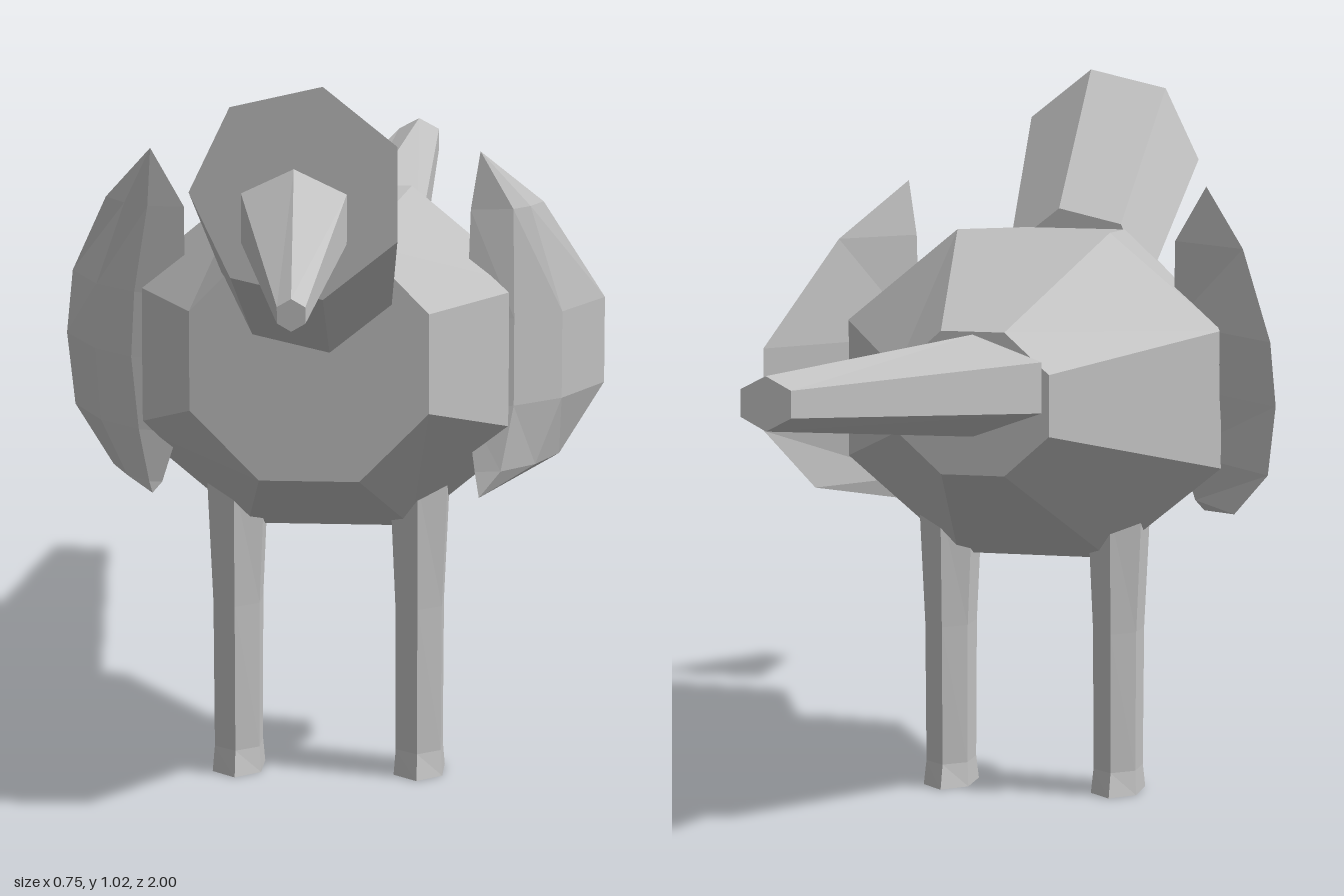
import * as THREE from 'three';

const grey = new THREE.MeshStandardMaterial({ color: 0xbfbfbf });
grey.name = 'grey';

// Closed, faceted skin over rings of [x, y, z] points, wound outwards
function loft(name, rings) {
  const tris = [];
  const n = rings[0].length;
  for (let r = 0; r < rings.length - 1; r++) {
    for (let i = 0; i < n; i++) {
      const j = (i + 1) % n;
      const [a, b, c, d] = [rings[r][i], rings[r][j], rings[r + 1][j], rings[r + 1][i]];
      tris.push([a, b, c], [a, c, d]);
    }
  }
  const first = rings[0], last = rings[rings.length - 1];
  for (let i = 1; i < n - 1; i++) {
    tris.push([first[0], first[i + 1], first[i]], [last[0], last[i], last[i + 1]]);
  }
  const v = (p) => new THREE.Vector3(...p);
  const area = (t) => v(t[1]).sub(v(t[0])).cross(v(t[2]).sub(v(t[0]))).length();
  const solid = tris.filter((t) => area(t) > 1e-9);
  const origin = v(first[0]);
  const volume = solid.reduce((s, t) => {
    const [a, b, c] = t.map((p) => v(p).sub(origin));
    return s + a.dot(b.cross(c));
  }, 0);
  const points = solid.flatMap(([a, b, c]) => (volume > 0 ? [a, b, c] : [a, c, b]));
  const geometry = new THREE.BufferGeometry();
  geometry.setAttribute('position', new THREE.Float32BufferAttribute(points.flat(), 3));
  geometry.computeVertexNormals();
  const mesh = new THREE.Mesh(geometry, grey);
  mesh.name = name;
  return mesh;
}

// Polygon ring facing z
function ringZ(sides, start, x, y, z, rx, ry) {
  return Array.from({ length: sides }, (_, i) => {
    const a = start + (i / sides) * Math.PI * 2;
    return [x + rx * Math.cos(a), y + ry * Math.sin(a), z];
  });
}

// Polygon ring facing y
function ringY(sides, start, x, y, z, rx, rz) {
  return ringZ(sides, start, x, z, y, rx, rz).map(([px, pz, py]) => [px, py, pz]);
}

// Eight-cornered body section: half width, half height and half lengths of the flats
function octagon(z, y, w, h, flatX, flatY) {
  return [[flatX, h], [w, flatY], [w, -flatY], [flatX, -h], [-flatX, -h], [-w, -flatY], [-w, flatY], [-flatX, h]]
    .map(([px, py]) => [px, y + py, z]);
}

// Wing sections [y, lead x, lead z, mid x, mid z, trailing x, trailing z, inner x, inner z]
function wing(name, side, sections) {
  return loft(name, sections.map(([y, ...s]) =>
    [0, 1, 2, 3].map((i) => [side * s[i * 2], y, s[i * 2 + 1]])));
}

export function createModel() {
  const bird = new THREE.Group();
  bird.name = 'bird';
  const up = Math.PI / 2;

  bird.add(loft('body', [
    octagon(0.53, 0.633, 0.157, 0.158, 0.066, 0.066),
    octagon(0.19, 0.582, 0.278, 0.237, 0.113, 0.1),
    octagon(-0.17, 0.615, 0.108, 0.1, 0.045, 0.043),
  ]));

  bird.add(loft('head', [
    ringZ(7, Math.PI, 0.002, 0.882, 0.71, 0.139, 0.139),
    ringZ(7, Math.PI, 0, 0.717, 0.46, 0.112, 0.112),
  ]));

  bird.add(loft('beak', [
    ringZ(6, up, 0.005, 0.865, 0.81, 0.076, 0.062),
    ringZ(6, up, 0.018, 0.776, 1, 0.02, 0.02),
  ]));

  bird.add(loft('tail', [
    ringZ(6, up, 0, 0.64, -0.17, 0.113, 0.071),
    ringZ(6, up, 0.05, 0.723, -1, 0.037, 0.034),
  ]));

  // Legs, flaring slightly at the foot and the hip
  for (const side of [-1, 1]) {
    const x = side * 0.126;
    bird.add(loft(side > 0 ? 'leftLeg' : 'rightLeg', [
      ringY(6, up, x, 0, 0.2, 0.039, 0.064),
      ringY(6, up, x, 0.035, 0.2, 0.036, 0.052),
      ringY(6, up, x, 0.24, 0.2, 0.037, 0.055),
      ringY(6, up, x, 0.42, 0.2, 0.046, 0.062),
    ]));
  }

  // Swept wings, slightly different on each side
  bird.add(wing('rightWing', -1, [
    [0.88, 0.235, 0.285, 0.235, 0.285, 0.235, 0.285, 0.235, 0.285],
    [0.8, 0.24, 0.28, 0.275, 0.25, 0.307, 0.195, 0.19, 0.282],
    [0.68, 0.26, 0.27, 0.32, 0.205, 0.368, 0.088, 0.19, 0.275],
    [0.59, 0.265, 0.268, 0.322, 0.205, 0.378, 0.08, 0.19, 0.275],
    [0.49, 0.255, 0.27, 0.315, 0.205, 0.366, 0.088, 0.2, 0.278],
    [0.42, 0.24, 0.28, 0.275, 0.24, 0.303, 0.165, 0.222, 0.282],
    [0.405, 0.235, 0.285, 0.235, 0.285, 0.235, 0.285, 0.235, 0.285],
  ]));
  bird.add(wing('leftWing', 1, [
    [0.88, 0.211, 0.285, 0.211, 0.285, 0.211, 0.285, 0.211, 0.285],
    [0.8, 0.255, 0.27, 0.277, 0.24, 0.293, 0.195, 0.198, 0.28],
    [0.65, 0.257, 0.268, 0.32, 0.205, 0.375, 0.08, 0.193, 0.275],
    [0.53, 0.257, 0.268, 0.32, 0.205, 0.375, 0.08, 0.193, 0.275],
    [0.44, 0.24, 0.275, 0.285, 0.22, 0.315, 0.14, 0.205, 0.28],
    [0.405, 0.211, 0.285, 0.211, 0.285, 0.211, 0.285, 0.211, 0.285],
  ]));

  return bird;
}
